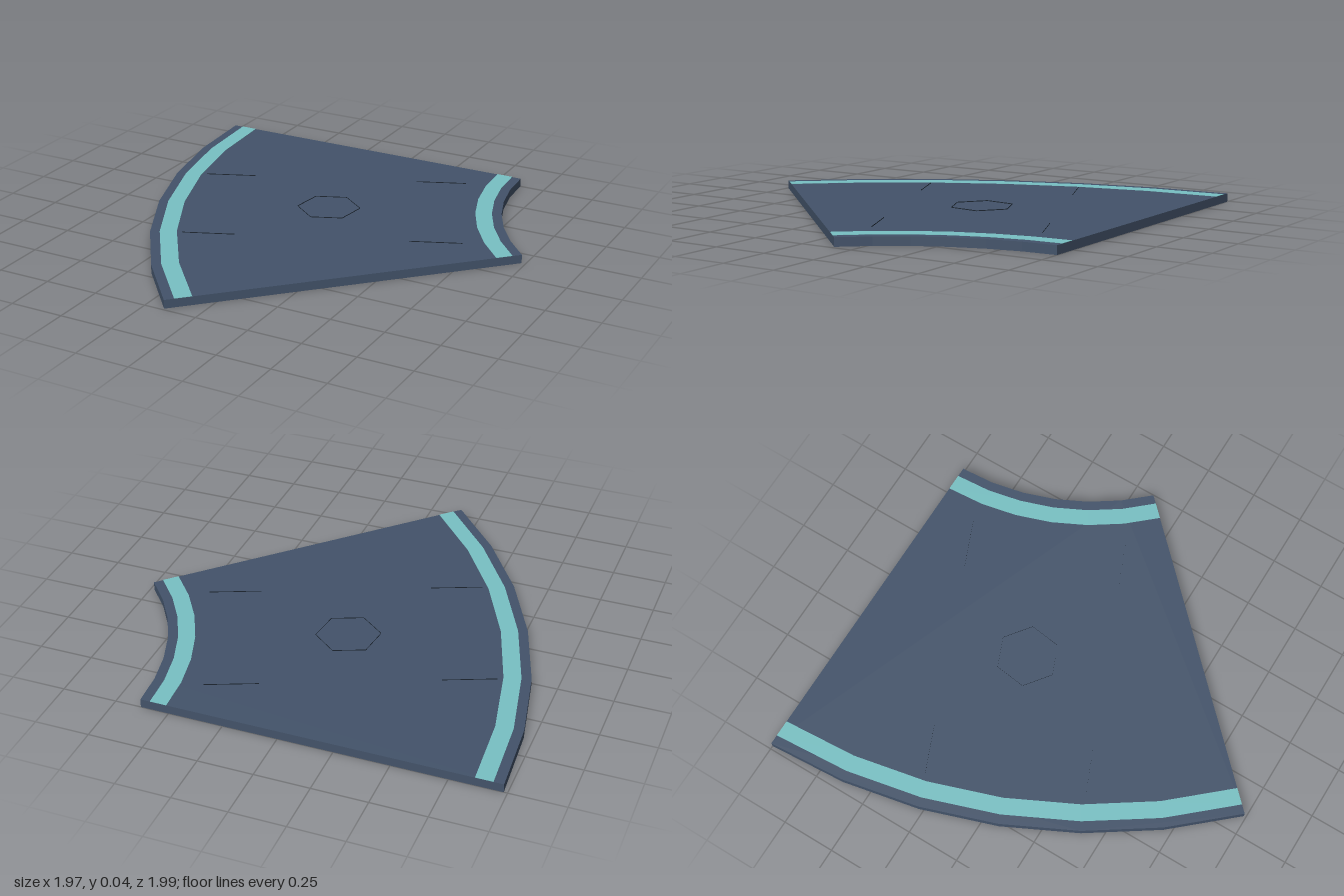
import * as THREE from 'three';

const CX = 1.83, CZ = -1;            // centre of the curve
const R_IN = 1.2, R_OUT = 2.814;     // inner and outer edge
const SWEEP = Math.PI / 4, STEPS = 6;
const TOP = 0.04;

const floorMat = new THREE.MeshStandardMaterial({ color: 0x43536a });
floorMat.name = 'slate floor';
const stripeMat = new THREE.MeshStandardMaterial({ color: 0x78c1c4 });
stripeMat.name = 'teal stripe';
const lineMat = new THREE.MeshStandardMaterial({ color: 0x1c2530, side: THREE.DoubleSide });
lineMat.name = 'dark line';

// Faceted ring sector lying flat, from height y up by h
function sector(name, r0, r1, y, h, mat) {
  const pts = [];
  const add = (r, i) => {
    const a = (SWEEP * i) / STEPS;
    pts.push(new THREE.Vector2(CX - r * Math.cos(a), -(CZ + r * Math.sin(a))));
  };
  for (let i = 0; i <= STEPS; i++) add(r1, i);
  for (let i = STEPS; i >= 0; i--) add(r0, i);
  const geo = new THREE.ExtrudeGeometry(new THREE.Shape(pts), { depth: h, bevelEnabled: false });
  geo.rotateX(-Math.PI / 2);
  geo.translate(0, y, 0);
  const mesh = new THREE.Mesh(geo, mat);
  mesh.name = name;
  return mesh;
}

// Upright paper-thin strip between two points of the floor plane
function strip(name, a, b) {
  const d = b.clone().sub(a);
  const mesh = new THREE.Mesh(new THREE.PlaneGeometry(d.length(), 0.005), lineMat);
  mesh.position.set((a.x + b.x) / 2, TOP + 0.0015, (a.y + b.y) / 2);
  mesh.rotation.y = -Math.atan2(d.y, d.x);
  mesh.name = name;
  return mesh;
}

export function createModel() {
  const model = new THREE.Group();
  model.name = 'curvedFloorSection';

  model.add(sector('floorSlab', R_IN, R_OUT, 0, TOP, floorMat));
  model.add(sector('innerStripe', 1.245, 1.322, TOP, 0.0015, stripeMat));
  model.add(sector('outerStripe', 2.692, 2.77, TOP, 0.0015, stripeMat));

  // Local frame about the middle: u runs toward the curve centre, v across
  const mid = (R_IN + R_OUT) / 2, c = Math.cos(SWEEP / 2), s = Math.sin(SWEEP / 2);
  const at = (u, v) => new THREE.Vector2(CX - (mid - u) * c + v * s, CZ + (mid - u) * s + v * c);

  // Four guide lines parallel to the middle radius
  for (const u of [-0.515, 0.515])
    for (const v of [-0.364, 0.364])
      model.add(strip('guideLine', at(u - 0.12, v), at(u + 0.12, v)));

  // Hexagon marking
  const hexagon = new THREE.Group();
  hexagon.name = 'hexagonMarking';
  const corner = (i) => at(0.147 * Math.cos((i * Math.PI) / 3), 0.147 * Math.sin((i * Math.PI) / 3));
  for (let i = 0; i < 6; i++) hexagon.add(strip('hexagonSide', corner(i), corner(i + 1)));
  model.add(hexagon);

  return model;
}
